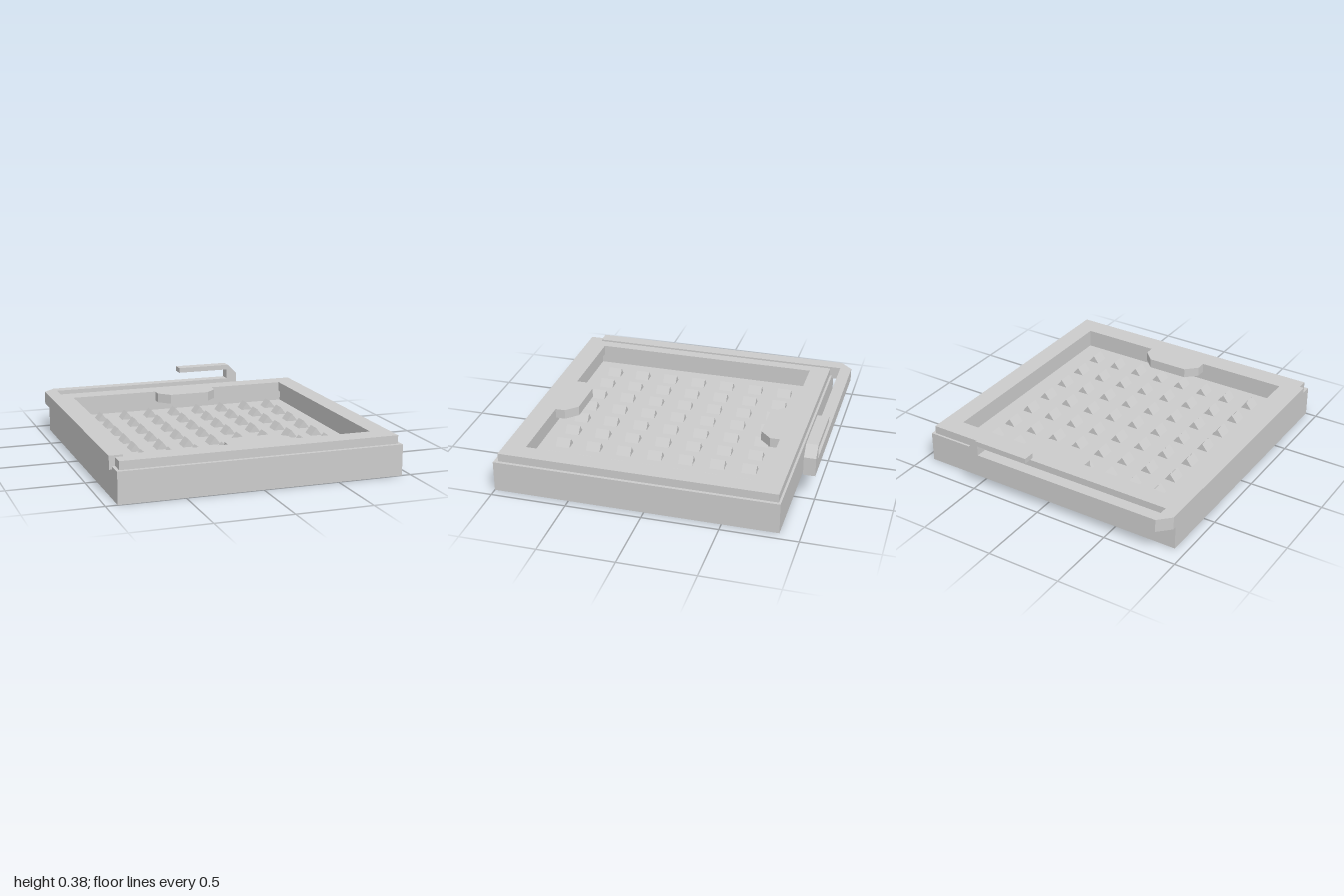
import * as THREE from 'three';

const material = new THREE.MeshStandardMaterial({ color: 0xcccccc, flatShading: true, side: THREE.DoubleSide });

const rect = (x0, x1, z0, z1) => [[x0, z0], [x1, z0], [x1, z1], [x0, z1]];

// Horizontal slab from a plan outline of [x, z] points, with optional holes
function slab(outline, holes, y0, y1) {
  const toPlan = (pts) => pts.map(([x, z]) => new THREE.Vector2(x, -z));
  const shape = new THREE.Shape(toPlan(outline));
  holes.forEach((h) => shape.holes.push(new THREE.Path(toPlan(h))));
  const geo = new THREE.ExtrudeGeometry(shape, { depth: y1 - y0, bevelEnabled: false });
  return geo.rotateX(-Math.PI / 2).translate(0, y0, 0);
}

// Vertical slab from a front profile of [x, y] points
function profile(points, z0, z1) {
  const shape = new THREE.Shape(points.map(([x, y]) => new THREE.Vector2(x, y)));
  return new THREE.ExtrudeGeometry(shape, { depth: z1 - z0, bevelEnabled: false }).translate(0, 0, z0);
}

// Hollow ridge, open underneath: two slopes and two triangular ends
function ridgeGeometry(w, h, d) {
  const a = [-w, 0, -d], b = [-w, 0, d], c = [w, 0, d], e = [w, 0, -d];
  const p = [0, h, -d], q = [0, h, d];
  const tris = [a, b, q, a, q, p, c, e, p, c, p, q, b, c, q, e, a, p];
  const geo = new THREE.BufferGeometry();
  geo.setAttribute('position', new THREE.Float32BufferAttribute(tris.flat(), 3));
  geo.computeVertexNormals();
  return geo;
}

export function createModel() {
  const model = new THREE.Group();
  const add = (name, geo, parent = model) => {
    const mesh = new THREE.Mesh(geo, material);
    mesh.name = name;
    parent.add(mesh);
    return mesh;
  };

  // Thin outer skirt, open below
  add('skirt', slab(rect(-0.925, 0.94, -0.865, 1), [rect(-0.915, 0.93, -0.855, 0.99)], 0, 0.205));
  // Ledge joining the skirt to the pan
  add('ledge', slab(rect(-0.92, 0.935, -0.86, 0.995), [rect(-0.8, 0.81, -0.74, 0.855)], 0.19, 0.205));

  // Raised frame whose opening has a chamfered tab at front and back
  const opening = [
    [-0.78, -0.715], [-0.175, -0.715], [-0.175, -0.65], [-0.1, -0.575],
    [0.18, -0.575], [0.255, -0.65], [0.255, -0.715], [0.79, -0.715],
    [0.79, 0.83], [0.255, 0.83], [0.255, 0.765], [0.18, 0.69],
    [-0.1, 0.69], [-0.175, 0.765], [-0.175, 0.83], [-0.78, 0.83],
  ];
  add('topFrame', slab(rect(-0.905, 0.918, -0.85, 0.973), [opening], 0.195, 0.26));

  // Sunken pan: walls, then a floor pierced under every ridge
  add('panWall', slab(rect(-0.81, 0.82, -0.75, 0.865), [rect(-0.8, 0.81, -0.74, 0.855)], 0.11, 0.2));
  const w = 0.039, d = 0.047, floorY = 0.12;
  const centres = [];
  for (let i = 0; i < 8; i++) {
    for (let j = 0; j < 7; j++) centres.push([-0.62 + i * 0.1805, -0.568 + j * 0.2105]);
  }
  const slots = centres.map(([x, z]) => rect(x - w, x + w, z - d, z + d));
  add('panFloor', slab(rect(-0.805, 0.815, -0.745, 0.86), slots, 0.11, floorY));

  const ridges = new THREE.Group();
  ridges.name = 'ridges';
  model.add(ridges);
  const ridge = ridgeGeometry(w, 0.05, d);
  centres.forEach(([x, z]) => add('ridge', ridge, ridges).position.set(x, floorY, z));

  // L-shaped bar along the right side and behind the back
  add('sideBar', slab([
    [-0.943, 0.88], [-0.855, 0.88], [-0.855, -0.922], [0.45, -0.922],
    [0.45, -1], [-0.863, -1], [-0.943, -0.92],
  ], [], 0.185, 0.272));

  // Hook turning back over the bar
  add('hook', profile([
    [0.45, 0.185], [0.525, 0.185], [0.525, 0.31], [0.46, 0.375],
    [0.075, 0.375], [0.075, 0.34], [0.45, 0.34],
  ], -1, -0.922));

  return model;
}
